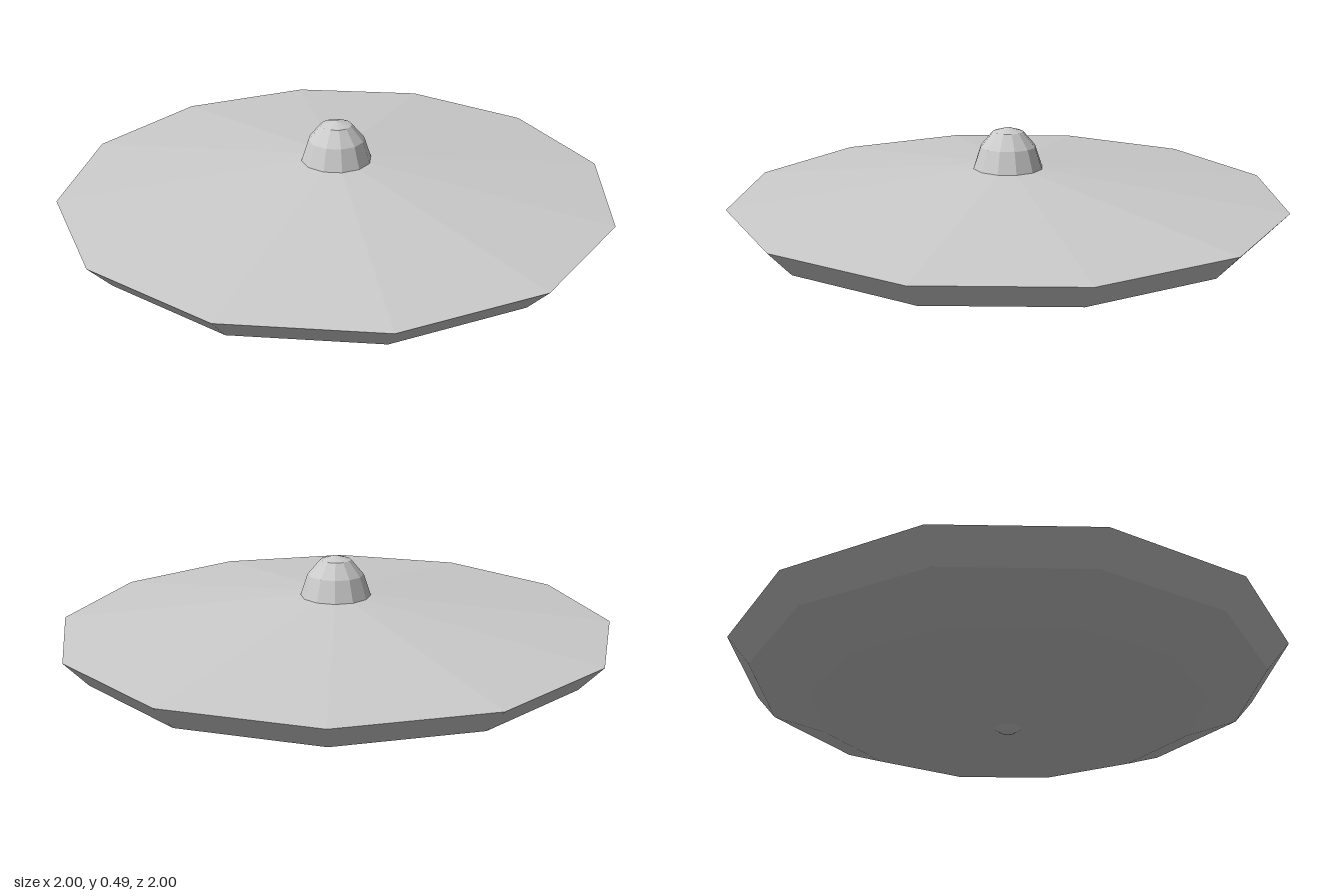
import * as THREE from 'three';

const SIDES = 12;
const material = new THREE.MeshStandardMaterial({ color: 0xcccccc, flatShading: true });

// Faceted solid of revolution from [radius, height] pairs, listed bottom to top
function turned(name, profile) {
  const points = profile.map(([r, y]) => new THREE.Vector2(r, y));
  const mesh = new THREE.Mesh(new THREE.LatheGeometry(points, SIDES), material);
  mesh.name = name;
  return mesh;
}

export function createModel() {
  const model = new THREE.Group();
  model.name = 'flyingSaucer';

  // Shallow bowl below, up to the sharp rim
  model.add(turned('lowerHull', [[0, 0.022], [0.05, 0.025], [0.71, 0.077], [0.92, 0.158], [1, 0.248]]));

  // Gently sloping deck from the rim to the foot of the dome
  model.add(turned('upperHull', [[1, 0.248], [0.128, 0.342], [0, 0.342]]));

  // Cockpit dome
  model.add(turned('dome', [[0.128, 0.342], [0.102, 0.42], [0.056, 0.474], [0, 0.491]]));

  // Small pointed nub under the hull
  model.add(turned('bottomNub', [[0, 0], [0.025, 0.01], [0.05, 0.025]]));

  return model;
}
